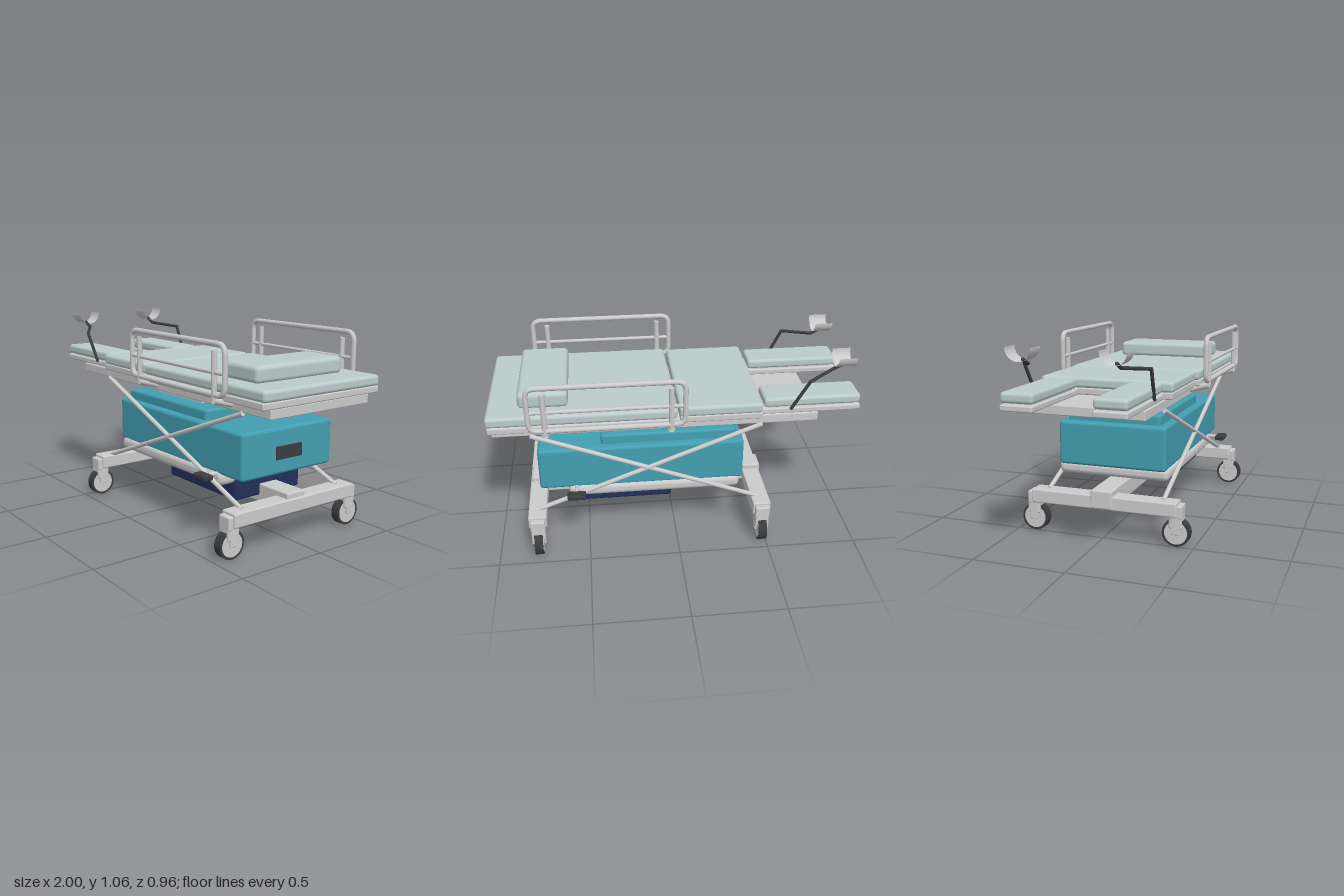
import * as THREE from 'three';
import { RoundedBoxGeometry } from 'three/addons/geometries/RoundedBoxGeometry.js';

const mat = (color, side = THREE.FrontSide) => new THREE.MeshStandardMaterial({ color, side });
const V = (x, y, z) => new THREE.Vector3(x, y, z);

export function createModel() {
  const model = new THREE.Group();
  const grey = mat(0xcccccc), greyThin = mat(0xcccccc, THREE.DoubleSide);
  const pad = mat(0xbaccca), teal = mat(0x429fb2), navy = mat(0x222f5c), dark = mat(0x3a3d3e);

  const add = (name, geometry, material, parent = model) => {
    const mesh = new THREE.Mesh(geometry, material);
    mesh.name = name;
    parent.add(mesh);
    return mesh;
  };
  // Rounded box given by its limits on each axis
  const box = (name, [x0, x1], [y0, y1], [z0, z1], material, r = 0.008, parent = model) => {
    const mesh = add(name, new RoundedBoxGeometry(x1 - x0, y1 - y0, z1 - z0, 3, r), material, parent);
    mesh.position.set((x0 + x1) / 2, (y0 + y1) / 2, (z0 + z1) / 2);
    return mesh;
  };
  // Straight round bar between two points
  const bar = (name, a, b, r, material, parent = model) => {
    const d = b.clone().sub(a);
    const mesh = add(name, new THREE.CylinderGeometry(r, r, d.length(), 16), material, parent);
    mesh.position.copy(a).addScaledVector(d, 0.5);
    mesh.quaternion.setFromUnitVectors(V(0, 1, 0), d.normalize());
    return mesh;
  };

  // Wheeled base
  box('baseBeam', [-0.53, 0.82], [0.17, 0.27], [-0.06, 0.06], grey);
  for (const x of [-0.475, 0.78]) {
    box('baseCrossbar', [x - 0.05, x + 0.05], [0.165, 0.24], [-0.41, 0.41], grey);
    for (const s of [-1, 1]) {
      const caster = new THREE.Group();
      caster.name = 'caster';
      caster.position.set(x, 0, s * 0.403);
      model.add(caster);
      box('casterHousing', [-0.04, 0.04], [0.155, 0.225], [-0.035, 0.035], grey, 0.008, caster);
      box('casterFork', [-0.038, 0.038], [0.1, 0.165], [-0.035, 0.035], grey, 0.008, caster);
      for (const t of [-1, 1])
        box('forkArm', [t * 0.033 - 0.006, t * 0.033 + 0.006], [0.068, 0.16], [-0.022, 0.022], grey, 0.004, caster);
      const tyre = add('tyre', new THREE.CylinderGeometry(0.075, 0.075, 0.046, 40), dark, caster);
      const hub = add('hub', new THREE.CylinderGeometry(0.062, 0.062, 0.05, 40), grey, caster);
      for (const m of [tyre, hub]) {
        m.rotation.z = Math.PI / 2;
        m.position.y = 0.075;
      }
    }
  }

  // Body: drive unit, tray, cover and lifting column
  box('driveUnit', [0.02, 0.605], [0.205, 0.335], [-0.225, 0.225], navy, 0.015);
  box('tray', [-0.358, 0.6], [0.297, 0.37], [-0.318, 0.318], grey, 0.03);
  box('bodyCover', [-0.375, 0.755], [0.355, 0.6], [-0.307, 0.307], teal, 0.018);
  box('bodyCoverTop', [-0.335, 0.41], [0.58, 0.655], [-0.266, 0.266], teal, 0.015);
  box('controlPanel', [0.745, 0.764], [0.436, 0.505], [-0.087, 0.087], dark, 0.004);
  box('liftColumn', [-0.175, 0.255], [0.64, 0.725], [-0.178, 0.178], grey, 0.004);

  // Upper frame, cushion boards and cushions
  box('upperFrame', [-0.768, 0.977], [0.714, 0.765], [-0.327, 0.327], grey, 0.006);
  box('backBoard', [0.01, 0.99], [0.765, 0.802], [-0.386, 0.386], grey);
  box('backCushion', [0.003, 0.997], [0.8, 0.857], [-0.384, 0.384], pad, 0.018);
  box('seatBoard', [-0.455, -0.015], [0.765, 0.802], [-0.365, 0.365], grey);
  box('seatCushion', [-0.455, -0.01], [0.8, 0.857], [-0.37, 0.37], pad, 0.018);
  box('pillow', [0.57, 0.833], [0.85, 0.94], [-0.287, 0.287], pad, 0.025);

  for (const s of [-1, 1]) {
    // Leg rest
    const legZ = [s * 0.235 - 0.086, s * 0.235 + 0.086];
    box('legBoard', [-1, -0.455], [0.765, 0.797], legZ, grey);
    box('legCushion', [-0.998, -0.47], [0.803, 0.857], legZ, pad, 0.018);
    box('legSpacer', [-0.96, -0.5], [0.785, 0.815], [s * 0.235 - 0.07, s * 0.235 + 0.07], grey);

    // Leg support: bent rod and half-round cup
    const rod = [V(-0.615, 0.79, s * 0.322), V(-0.705, 0.957, s * 0.335),
      V(-0.855, 0.977, s * 0.237), V(-0.908, 1.003, s * 0.237)];
    for (let i = 0; i < 3; i++) {
      bar('supportRod', rod[i], rod[i + 1], 0.009, dark);
      add('supportJoint', new THREE.SphereGeometry(0.009, 14, 10), dark).position.copy(rod[i + 1]);
    }
    const cup = add('legCup',
      new THREE.CylinderGeometry(0.068, 0.068, 0.1, 28, 1, true, 0, Math.PI), greyThin);
    cup.rotation.z = -Math.PI / 2;
    cup.position.set(-0.91, 1.064, s * 0.237);

    // Scissor struts
    bar('scissorStrut', V(-0.465, 0.712, s * 0.327), V(0.78, 0.235, s * 0.327), 0.0125, grey);
    bar('scissorStrut', V(0.78, 0.712, s * 0.327), V(-0.465, 0.235, s * 0.327), 0.0125, grey);

    // Foot pedal
    bar('pedalRod', V(0.555, 0.358, s * 0.29), V(0.555, 0.358, s * 0.37), 0.011, grey);
    box('pedal', [0.505, 0.605], [0.343, 0.373], [s * 0.392 - 0.028, s * 0.392 + 0.028], dark, 0.01);

    // Side rail: rounded loop, middle bar, posts and mounts
    const rz = s * 0.431, x0 = -0.032, x1 = 0.772, y0 = 0.8, y1 = 1.045, c = 0.05;
    const loop = new THREE.CurvePath();
    const pts = [V(x0, y0, rz), V(x1, y0, rz), V(x1, y1, rz), V(x0, y1, rz)];
    pts.forEach((p, i) => {
      const next = pts[(i + 1) % 4], after = pts[(i + 2) % 4];
      const dir = next.clone().sub(p).normalize(), turn = after.clone().sub(next).normalize();
      const end = next.clone().addScaledVector(dir, -c);
      loop.add(new THREE.LineCurve3(p.clone().addScaledVector(dir, c), end));
      loop.add(new THREE.QuadraticBezierCurve3(end, next, next.clone().addScaledVector(turn, c)));
    });
    add('railLoop', new THREE.TubeGeometry(loop, 160, 0.014, 12, true), grey);
    bar('railMiddleBar', V(x0, 0.908, rz), V(x1, 0.908, rz), 0.01, grey);
    for (const x of [0.04, 0.69]) {
      bar('railPost', V(x, 0.77, rz), V(x, 1.012, rz), 0.0145, grey);
      bar('railMount', V(x, 0.742, s * 0.32), V(x, 0.773, s * 0.433), 0.018, grey);
    }
  }
  return model;
}
